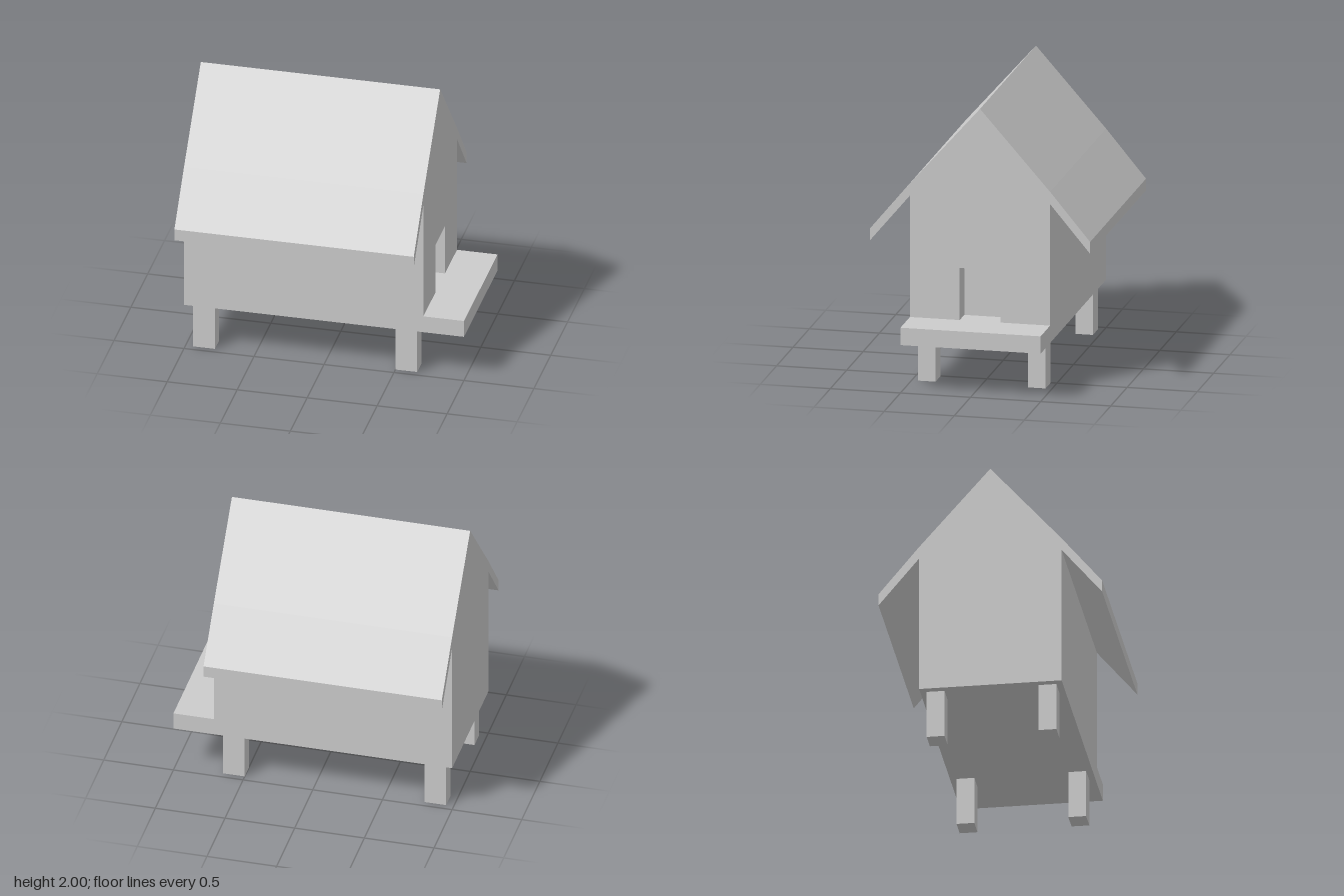
import * as THREE from 'three';

const material = new THREE.MeshStandardMaterial({ color: 0xcccccc, flatShading: true });

function addMesh(group, name, geometry) {
  const mesh = new THREE.Mesh(geometry, material);
  mesh.name = name;
  group.add(mesh);
  return mesh;
}

// Box given by its minimum and maximum corners
function addBox(group, name, [x0, y0, z0], [x1, y1, z1]) {
  const mesh = addMesh(group, name, new THREE.BoxGeometry(x1 - x0, y1 - y0, z1 - z0));
  mesh.position.set((x0 + x1) / 2, (y0 + y1) / 2, (z0 + z1) / 2);
}

// Half outline (z, y) mirrored across z = 0 and extruded along x from x0 to x1
function addProfile(group, name, half, x0, x1) {
  const mirrored = half.filter(([z]) => z > 0).map(([z, y]) => [-z, y]).reverse();
  const shape = new THREE.Shape([...half, ...mirrored].map(([z, y]) => new THREE.Vector2(z, y)));
  const geometry = new THREE.ExtrudeGeometry(shape, { depth: x1 - x0, bevelEnabled: false });
  geometry.rotateY(Math.PI / 2).translate(x0, 0, 0);
  addMesh(group, name, geometry);
}

export function createModel() {
  const model = new THREE.Group();
  model.name = 'stiltHouse';

  const back = -1, front = 0.71, doorBack = 0.57;
  const halfWidth = 0.5, base = 0.345, floor = 0.47;
  const eave = 1.345, innerRidge = 1.91;

  // Floor slab, continuing past the wall as a porch
  addBox(model, 'floorAndPorch', [back, base, -halfWidth], [1, floor, halfWidth]);

  // Solid house body behind the doorway
  addProfile(model, 'houseBody',
    [[halfWidth, floor], [halfWidth, eave], [0, innerRidge]], back, doorBack);

  // Gable wall with the recessed doorway notched out of its lower edge
  addProfile(model, 'doorwayWall',
    [[0, 0.845], [0.145, 0.845], [0.145, floor], [halfWidth, floor], [halfWidth, eave], [0, innerRidge]],
    doorBack, front);

  // Pitched roof with slightly steeper overhanging eaves
  addProfile(model, 'roof',
    [[0, innerRidge], [halfWidth, eave], [0.785, 1.005], [0.785, 1.09], [halfWidth, 1.433], [0, 2]],
    back, front);

  // Four square-cut legs
  for (const [x0, x1, end] of [[-0.945, -0.79, 'back'], [0.5, 0.655, 'front']]) {
    addBox(model, end + 'LegNear', [x0, 0, 0.33], [x1, base, 0.455]);
    addBox(model, end + 'LegFar', [x0, 0, -0.455], [x1, base, -0.33]);
  }

  return model;
}
